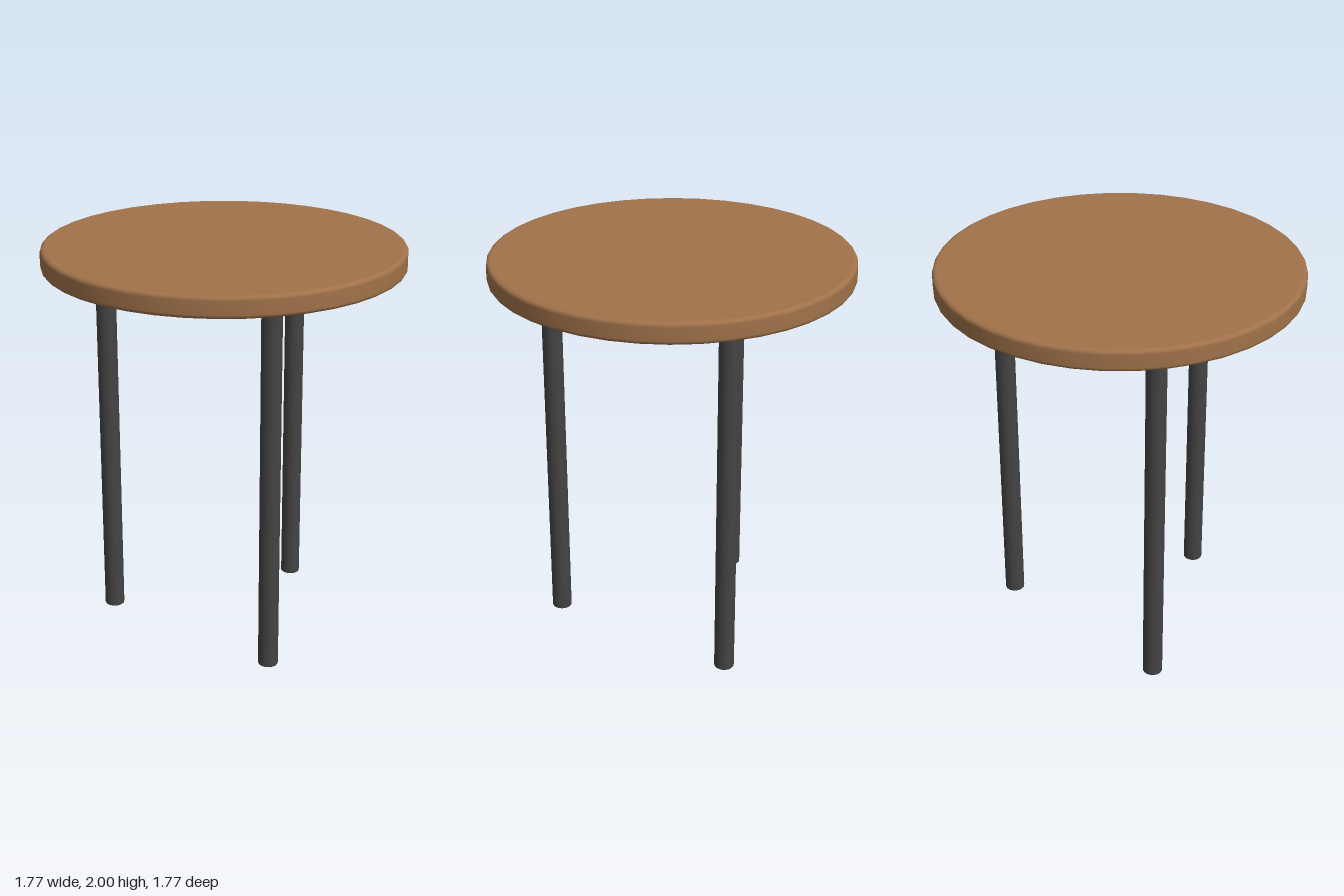
import * as THREE from 'three';

// Solid disc or rod turned around y, with softly rounded rims
function roundedCylinder(radius, y0, y1, bevel, sides) {
  const points = [new THREE.Vector2(0, y0), new THREE.Vector2(radius - bevel * 1.1, y0)];
  const steps = 4;
  for (const [cy, start] of [[y0 + bevel, -Math.PI / 2], [y1 - bevel, 0]]) {
    for (let i = 0; i <= steps; i++) {
      const a = start + (i / steps) * Math.PI / 2;
      points.push(new THREE.Vector2(radius - bevel + bevel * Math.cos(a), cy + bevel * Math.sin(a)));
    }
  }
  points.push(new THREE.Vector2(radius - bevel * 1.1, y1), new THREE.Vector2(0, y1));
  return new THREE.LatheGeometry(points, sides);
}

export function createModel() {
  const wood = new THREE.MeshStandardMaterial({ name: 'brown wood', color: 0xa0724a });
  const metal = new THREE.MeshStandardMaterial({ name: 'dark grey metal', color: 0x444444 });
  const group = new THREE.Group();
  group.name = 'roundStool';

  // Round top
  const top = new THREE.Mesh(roundedCylinder(0.887, 1.895, 2, 0.02, 40), wood);
  top.name = 'seatTop';
  group.add(top);

  // Three straight legs, one at the back and two at the front
  const legGeometry = roundedCylinder(0.05, 0, 1.895, 0.006, 16);
  ['backLeg', 'frontLeftLeg', 'frontRightLeg'].forEach((name, i) => {
    const angle = Math.PI - i * Math.PI * 2 / 3;
    const leg = new THREE.Mesh(legGeometry, metal);
    leg.name = name;
    leg.position.set(Math.sin(angle) * 0.592, 0, Math.cos(angle) * 0.592);
    group.add(leg);
  });
  return group;
}
